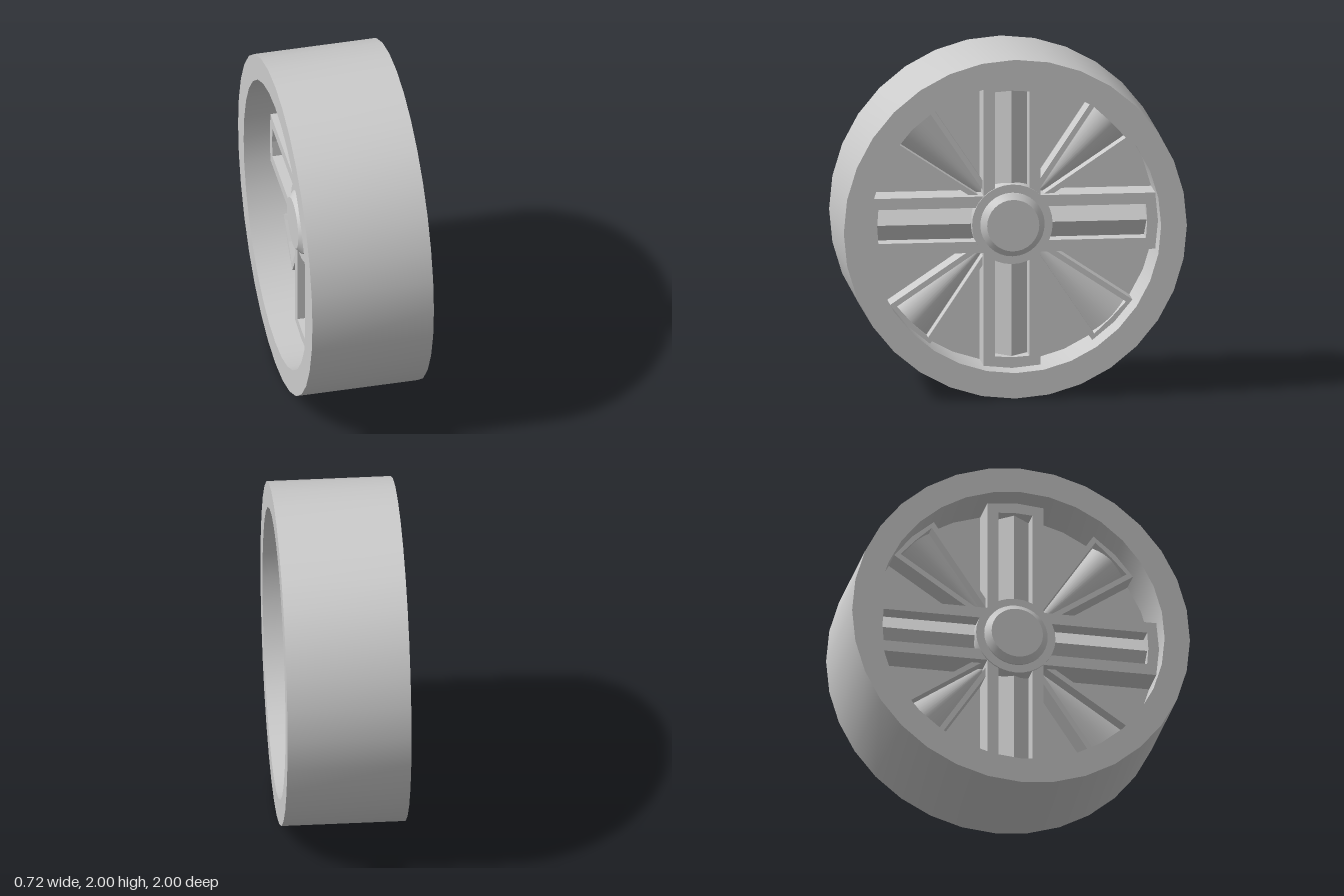
import * as THREE from 'three';
import { toCreasedNormals } from 'three/addons/utils/BufferGeometryUtils.js';

const SIDES = 32;
const RIM_IN = 0.85;
const STEP = (Math.PI * 2) / SIDES;
const mat = new THREE.MeshStandardMaterial({ color: 0xcccccc });
const matBoth = new THREE.MeshStandardMaterial({ color: 0xcccccc, side: THREE.DoubleSide });

function mesh(name, geo, material = mat) {
  const m = new THREE.Mesh(geo, material);
  m.name = name;
  return m;
}

// Turned part: profile of [radius, axial] pairs, axle along z
function turned(name, pts) {
  const geo = new THREE.LatheGeometry(pts.map(p => new THREE.Vector2(p[0], p[1])), SIDES);
  geo.rotateX(Math.PI / 2);
  return mesh(name, toCreasedNormals(geo, 0.5), matBoth);
}

const polar = (r, a) => new THREE.Vector2(r * Math.cos(a), r * Math.sin(a));

// Flat frame with one opening, raised from the web plate
function frame(name, outer, inner, depth) {
  const shape = new THREE.Shape(outer);
  shape.holes.push(new THREE.Path(inner));
  return mesh(name, new THREE.ExtrudeGeometry(shape, { depth, bevelEnabled: false }));
}

// Wide straight spoke along +x with a recessed ridge
function straightSpoke() {
  const g = new THREE.Group();
  g.name = 'straightSpoke';
  const V = (x, y) => new THREE.Vector2(x, y);
  g.add(frame('spokeFrame',
    [V(0.166, -0.166), polar(RIM_IN, -STEP), V(RIM_IN, 0), polar(RIM_IN, STEP), V(0.166, 0.166)],
    [V(0.19, -0.1), V(0.78, -0.1), V(0.787, 0), V(0.78, 0.1), V(0.19, 0.1)], 0.205));
  const tri = new THREE.Shape([V(-0.1, 0), V(0.1, 0), V(0.1, 0.1), V(0, 0.17), V(-0.1, 0.1)]);
  const ridge = new THREE.ExtrudeGeometry(tri, { depth: 0.6, bevelEnabled: false });
  ridge.rotateX(Math.PI / 2).rotateZ(Math.PI / 2); // length to +x, peak to -z
  ridge.rotateX(Math.PI).translate(0.187, 0, 0);   // peak to +z
  g.add(mesh('spokeRidge', ridge));
  return g;
}

// Flared spoke along +x with a recessed cone-shaped panel
function flaredSpoke() {
  const g = new THREE.Group();
  g.name = 'flaredSpoke';
  const apex = new THREE.Vector2(0.157, 0);
  const end = [-1, 0, 1].map(i => polar(RIM_IN, i * STEP));
  const start = [1, -1].map(i => polar(0.1, i * STEP));
  const hole = [-1, 0, 1].map(i => apex.clone().add(polar(i ? 0.671 : 0.663, i * STEP)));
  g.add(frame('flaredFrame', [start[1], ...end, start[0]], [apex, ...hole], 0.155));

  // Panel: fan from the apex to a bulging outer arc
  const N = 12;
  const pos = [];
  const rim = i => {
    const t = (i / N) * 2 - 1;
    const p = apex.clone().add(polar(0.672, t * STEP));
    return [p.x, p.y, 0.07 + 0.06 * (1 - t * t)];
  };
  for (let i = 0; i < N; i++) pos.push(apex.x, apex.y, 0.07, ...rim(i), ...rim(i + 1));
  const geo = new THREE.BufferGeometry();
  geo.setAttribute('position', new THREE.Float32BufferAttribute(pos, 3));
  g.add(mesh('flaredPanel', toCreasedNormals(geo, 0.6), matBoth));
  return g;
}

// One face of the wheel: spokes and hub
function wheelFace(name) {
  const g = new THREE.Group();
  g.name = name;
  for (let i = 0; i < 4; i++) {
    const a = straightSpoke();
    a.rotation.z = (i * Math.PI) / 2;
    const b = flaredSpoke();
    b.rotation.z = ((i + 0.5) * Math.PI) / 2;
    g.add(a, b);
  }
  g.add(turned('hubFlange', [[0.235, 0], [0.235, 0.215], [0, 0.215]]));
  g.add(turned('hubCap', [[0.187, 0.2], [0.187, 0.225], [0.152, 0.257], [0, 0.257]]));
  return g;
}

export function createModel() {
  const root = new THREE.Group();
  root.name = 'wheel';
  const wheel = new THREE.Group();
  wheel.name = 'wheelBody';
  wheel.rotation.y = Math.PI / 2; // axle along x
  wheel.position.y = 1;
  root.add(wheel);

  // Broad tyre band and thin web plate
  wheel.add(turned('tyre', [[RIM_IN, -0.36], [1, -0.36], [1, 0.36], [RIM_IN, 0.36], [RIM_IN, -0.36]]));
  wheel.add(turned('webPlate', [[0, -0.005], [RIM_IN, -0.005], [RIM_IN, 0.005], [0, 0.005]]));

  const near = wheelFace('leftFace');
  const far = wheelFace('rightFace');
  far.rotation.y = Math.PI;
  wheel.add(near, far);
  return root;
}
